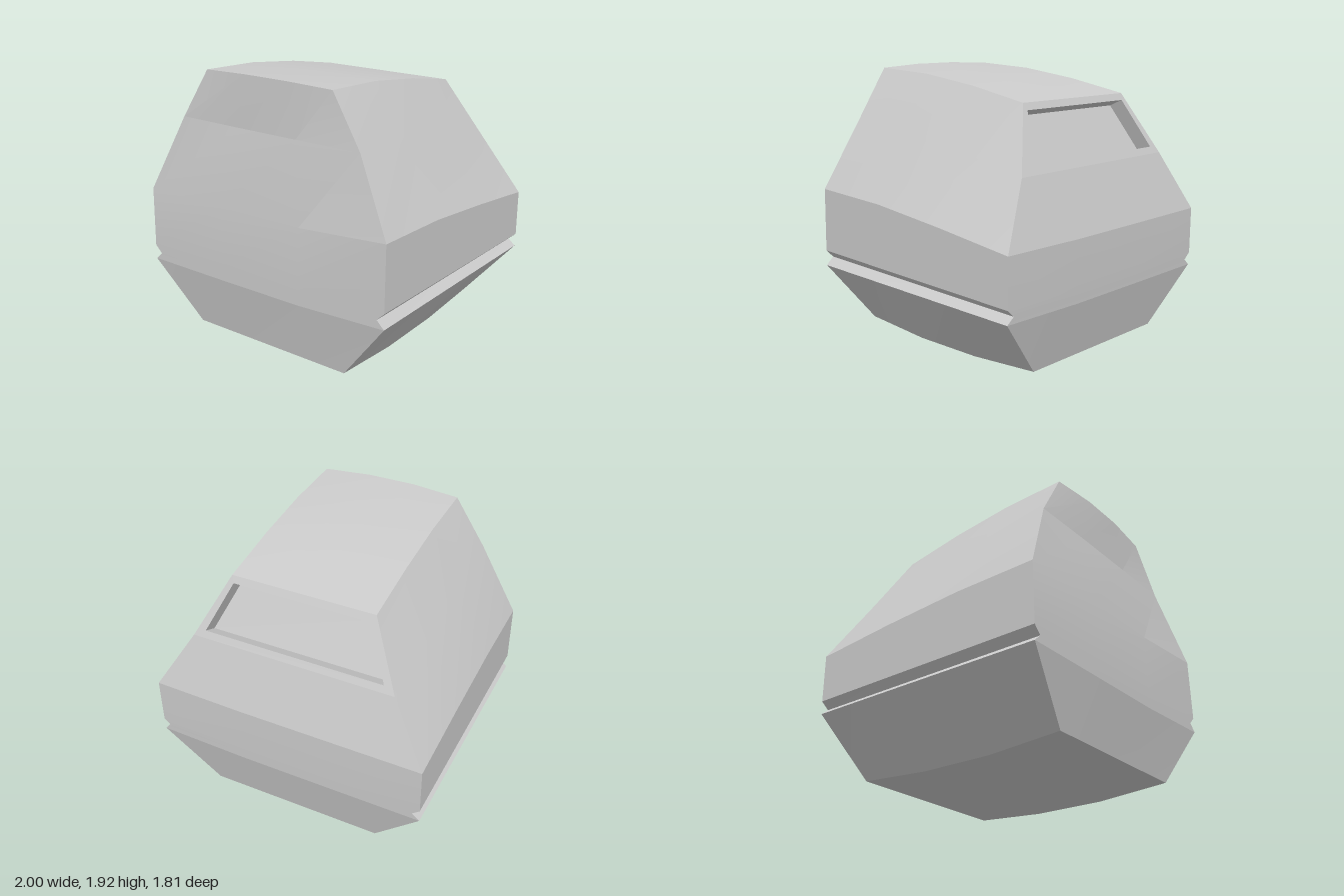
import * as THREE from 'three';
import { toCreasedNormals } from 'three/addons/utils/BufferGeometryUtils.js';

const N = 3; // segments along each side of a ring

// Rings from base to roof: half width, front z, back z, front bow,
// and heights from front to back along the left (+x) and right (-x) sides.
const straight = (a, b) => [0, 1, 2, 3].map((j) => a + ((b - a) * j) / N);
const rings = [
  { w: 0.64, zf: 0.82, zb: -0.79, bow: 0, l: [0.04, 0, 0, 0.035], r: [0.04, 0, 0, 0.035] },
  { w: 1, zf: 0.9, zb: -0.895, bow: 0.004, l: straight(0.5, 0.46), r: straight(0.47, 0.44) },
  { w: 0.945, zf: 0.9, zb: -0.897, bow: 0.004, l: straight(0.555, 0.505), r: straight(0.52, 0.487) },
  { w: 1, zf: 0.9, zb: -0.9, bow: 0.004, l: straight(0.61, 0.555), r: straight(0.575, 0.535) },
  { w: 1, zf: 0.89, zb: -0.903, bow: 0.004, l: [1.065, 1.035, 0.968, 0.89], r: [1.01, 0.99, 0.94, 0.875] },
  { w: 0.74, zf: 0.795, zb: -0.775, bow: 0.006, l: [1.56, 1.5, 1.42, 1.31], r: [1.56, 1.5, 1.42, 1.31] },
  { w: 0.52, zf: 0.775, zb: -0.585, bow: 0.024, crown: 0.015, l: [1.91, 1.886, 1.826, 1.74], r: [1.91, 1.886, 1.826, 1.74] },
];

// Point on a ring's 4 x 4 grid: i runs from right to left (+x), j from front to back
function point(ring, i, j) {
  const inner = i > 0 && i < N ? 1 : 0;
  const mix = [0, 0.02, 0.1, 1][i];
  const y = ring.r[j] + (ring.l[j] - ring.r[j]) * mix + inner * (ring.crown || 0) * (1 - j / N);
  const zf = ring.zf + inner * ring.bow;
  return new THREE.Vector3(ring.w * ((2 * i) / N - 1), y, zf + ((ring.zb - zf) * j) / N);
}

// Outline of a ring, anticlockwise from above: front, left, back, right
function outline(ring) {
  const pts = [];
  for (let k = 0; k < N; k++) pts.push(point(ring, k, 0));
  for (let k = 0; k < N; k++) pts.push(point(ring, N, k));
  for (let k = 0; k < N; k++) pts.push(point(ring, N - k, N));
  for (let k = 0; k < N; k++) pts.push(point(ring, 0, N - k));
  return pts;
}

function quadMesh(name, quads) {
  const points = quads.flatMap(([a, b, c, d]) => [a, b, c, a, c, d]);
  const geo = toCreasedNormals(new THREE.BufferGeometry().setFromPoints(points), 0.16);
  const mesh = new THREE.Mesh(geo, new THREE.MeshStandardMaterial({ color: 0xcccccc }));
  mesh.name = name;
  return mesh;
}

// Quads joining two closed loops
const band = (lower, upper) => lower.map((p, k) => {
  const n = (k + 1) % lower.length;
  return [p, lower[n], upper[n], upper[k]];
});

function cap(ring, flip) {
  const quads = [];
  for (let i = 0; i < N; i++) {
    for (let j = 0; j < N; j++) {
      const q = [point(ring, i, j), point(ring, i + 1, j), point(ring, i + 1, j + 1), point(ring, i, j + 1)];
      quads.push(flip ? q.reverse() : q);
    }
  }
  return quads;
}

export function createModel() {
  const group = new THREE.Group();
  group.name = 'shell';

  // Walls, leaving the upper back panel open for the window frame
  const walls = [];
  for (let r = 0; r < rings.length - 1; r++) {
    const quads = band(outline(rings[r]), outline(rings[r + 1]));
    const isTop = r === rings.length - 2;
    walls.push(...quads.filter((_, k) => !(isTop && k >= 2 * N && k < 3 * N)));
  }
  group.add(quadMesh('walls', walls));
  group.add(quadMesh('roof', cap(rings[rings.length - 1], false)));
  group.add(quadMesh('base', cap(rings[0], true)));

  // Back window: a sloping frame around a sunken trapezoid
  const [low, top] = rings.slice(-2);
  const outer = [point(low, N, N), point(low, 0, N), point(top, 0, N), point(top, N, N)];
  const onPanel = (x, t) => new THREE.Vector3(x, 0, 0)
    .setY(1.31 + 0.43 * t).setZ(-0.775 + 0.19 * t);
  const opening = [onPanel(0.655, 0.11), onPanel(-0.655, 0.11), onPanel(-0.5, 0.89), onPanel(0.5, 0.89)];
  const inward = new THREE.Vector3(0, -0.19, 0.43).setLength(0.11);
  const floor = opening.map((p) => p.clone().add(inward));
  group.add(quadMesh('windowFrame', band(outer, opening)));
  group.add(quadMesh('windowRecess', [...band(opening, floor), floor]));
  return group;
}
